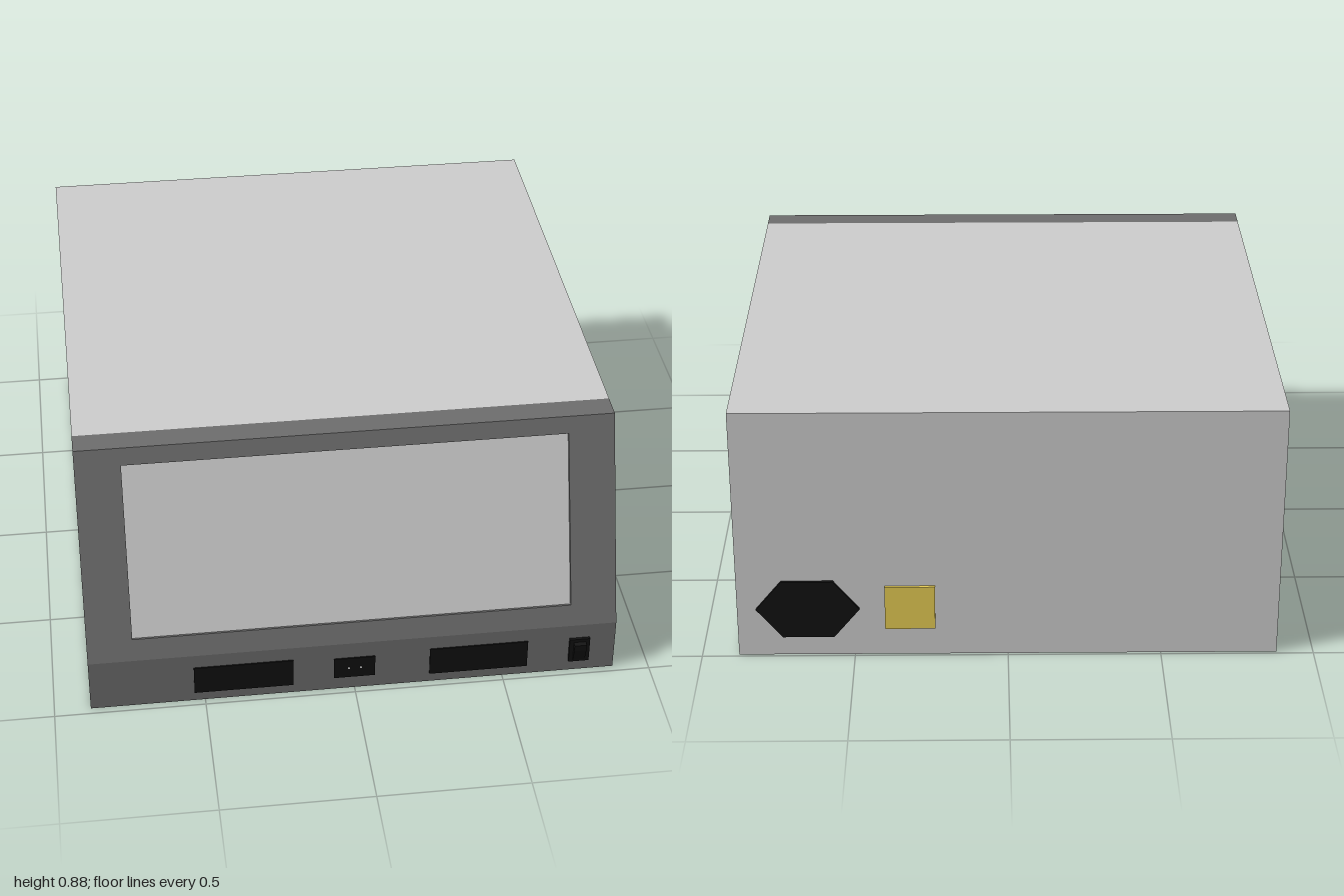
import * as THREE from 'three';

const mat = (color) => new THREE.MeshStandardMaterial({ color });

export function createModel() {
  const model = new THREE.Group();
  const grey = mat(0xcccccc), dark = mat(0x6c6c6c), black = mat(0x111111), brass = mat(0xe4ca53);

  const add = (name, geometry, material) => {
    const mesh = new THREE.Mesh(geometry, material);
    mesh.name = name;
    model.add(mesh);
    return mesh;
  };
  // box given by its limits on each axis
  const box = (name, material, [x0, x1], [y0, y1], [z0, z1]) =>
    add(name, new THREE.BoxGeometry(x1 - x0, y1 - y0, z1 - z0), material)
      .position.set((x0 + x1) / 2, (y0 + y1) / 2, (z0 + z1) / 2);
  // side profile of [z, y] points, extruded from x0 to x1
  const extrudeX = (name, material, profile, x0, x1) => {
    const shape = new THREE.Shape(profile.map(([z, y]) => new THREE.Vector2(-z, y)));
    const geometry = new THREE.ExtrudeGeometry(shape, { depth: x1 - x0, bevelEnabled: false });
    add(name, geometry.rotateY(Math.PI / 2).translate(x0, 0, 0), material);
  };

  // main housing
  box('housing', grey, [-0.88, 0.88], [0, 0.875], [-0.99, 0.65]);

  // sloped front bezel: two full cheeks and a notched middle that holds the screen
  const H = 0.875, lipY = 0.19, lipZ = 0.975, topZ = 0.735;
  const run = (lipZ - topZ) / (H - lipY), len = Math.hypot(1, run);
  // point on the slope at height y, sunk by depth along the slope's normal
  const onSlope = (y, depth = 0) => [lipZ - run * (y - lipY) - depth / len, y - depth * run / len];
  const low = 0.26, high = 0.82, left = -0.73, right = 0.727;
  const start = [[0.65, 0], [lipZ, 0], [lipZ, lipY]], end = [[topZ, H], [0.65, H]];
  const notch = [onSlope(low), onSlope(low, 0.02), onSlope(high, 0.02), onSlope(high)];
  extrudeX('bezelCheekRight', dark, [...start, ...end], -0.88, left);
  extrudeX('bezelMiddle', dark, [...start, ...notch, ...end], left, right);
  extrudeX('bezelCheekLeft', dark, [...start, ...end], right, 0.88);
  extrudeX('screen', grey,
    [onSlope(low, 0.02), onSlope(low, 0.012), onSlope(high, 0.012), onSlope(high, 0.02)], left, right);

  // front sockets
  box('frontSlotRight', black, [-0.535, -0.205], [0.035, 0.14], [0.96, 0.98]);
  box('frontSlotLeft', black, [0.252, 0.583], [0.035, 0.14], [0.96, 0.98]);
  box('frontPort', black, [-0.07, 0.068], [0.05, 0.13], [0.96, 0.98]);
  for (const x of [-0.02, 0.02]) {
    const pin = add('portPin', new THREE.CylinderGeometry(0.004, 0.004, 0.004, 12), grey);
    pin.rotation.x = Math.PI / 2;
    pin.position.set(x, 0.09, 0.98);
  }

  // power rocker
  box('switchFrame', black, [0.724, 0.793], [0.043, 0.137], [0.96, 0.985]);
  extrudeX('switchRocker', black,
    [[0.97, 0.05], [0.986, 0.05], [1, 0.1], [1, 0.122], [0.97, 0.128]], 0.738, 0.779);

  // rear power inlet and brass connector
  const inlet = add('powerInlet',
    new THREE.CylinderGeometry(1, 1, 0.02, 6).rotateX(Math.PI / 2).rotateZ(Math.PI / 2), black);
  inlet.scale.set(0.168, 0.1025 / Math.sin(Math.PI / 3), 1);
  inlet.position.set(0.65, 0.173, -0.99);
  box('rearConnector', brass, [0.237, 0.4], [0.1, 0.255], [-1, -0.98]);

  return model;
}
